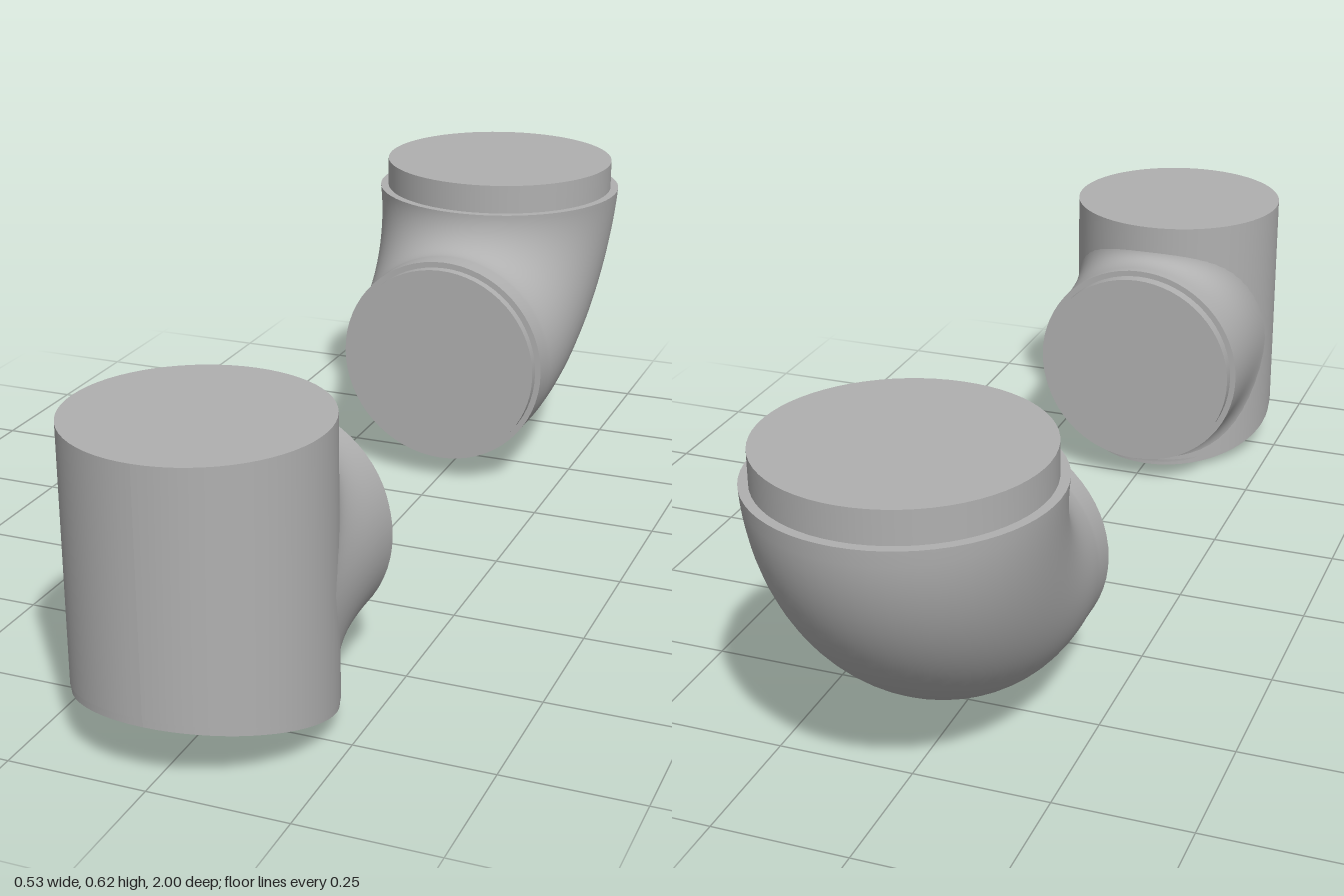
import * as THREE from 'three';

const SEG = 64;
const grey = new THREE.MeshStandardMaterial({ color: 0xb0b0b0 });
grey.name = 'plain grey';

const part = (name, geo, x = 0, y = 0, z = 0) => {
  const m = new THREE.Mesh(geo, grey);
  m.name = name;
  m.position.set(x, y, z);
  return m;
};

// Smooth skin through closed rings, each running x towards y, stacked towards -z
function loft(rings) {
  const n = rings[0].length, pos = [], idx = [];
  for (const ring of rings) for (const p of ring) pos.push(p.x, p.y, p.z);
  for (let i = 0; i < rings.length - 1; i++) {
    for (let j = 0; j < n; j++) {
      const k = (j + 1) % n;
      const a = i * n + j, b = i * n + k, c = a + n, d = b + n;
      idx.push(a, c, b, b, c, d);
    }
  }
  const g = new THREE.BufferGeometry();
  g.setAttribute('position', new THREE.Float32BufferAttribute(pos, 3));
  g.setIndex(idx);
  g.computeVertexNormals();
  return g;
}

// Upright cylinder whose lower end (and optionally upper end) follows the slanted base
function slanted(r, lift, top) {
  const g = new THREE.CylinderGeometry(r, r, 1, SEG);
  const p = g.attributes.position;
  for (let i = 0; i < p.count; i++) {
    const slope = 0.115 * (p.getZ(i) + 0.223) / 0.446;
    if (p.getY(i) < 0) p.setY(i, slope + lift);
    else p.setY(i, top === undefined ? slope + 0.03 : top);
  }
  g.computeVertexNormals();
  return g;
}

// Short cylinder lying along z
const disc = (name, r, z0, z1) => {
  const g = new THREE.CylinderGeometry(r, r, Math.abs(z1 - z0), SEG).rotateX(Math.PI / 2);
  return part(name, g, 0, PORT_Y, (z0 + z1) / 2);
};

const PORT_Y = 0.262, PORT_R = 0.22;

function createTee() {
  const g = new THREE.Group();
  g.name = 'teeFitting';
  const R = 0.223, Z = 0.777;
  g.add(part('verticalPipe', slanted(R, 0.014, 0.56), 0, 0, Z));
  g.add(part('slantedBase', slanted(0.221, 0), 0, 0, Z));

  // Side branch, filleted into the vertical pipe
  const rings = [];
  const steps = 12, zStart = 0.512;
  for (let i = 0; i <= steps + 1; i++) {
    const t = Math.min(i / steps, 1), ring = [];
    for (let j = 0; j < SEG; j++) {
      const a = j / SEG * Math.PI * 2, c = Math.cos(a), s = Math.sin(a);
      const x = PORT_R * c, y = PORT_Y + PORT_R * s;
      const zHit = Z - Math.sqrt(R * R - x * x) + 0.002;
      const foot = new THREE.Vector3(x, y + (0.035 + 0.1 * c * c) * s, zHit);
      const curve = new THREE.QuadraticBezierCurve3(
        foot, new THREE.Vector3(x, y, zHit), new THREE.Vector3(x, y, zStart));
      const p = curve.getPoint(t);
      if (i > steps) p.z = 0.49;
      ring.push(p);
    }
    rings.push(ring);
  }
  g.add(part('branch', loft(rings)));
  g.add(disc('branchCollar', PORT_R, 0.49, 0.505));
  g.add(disc('branchPlug', 0.208, 0.465, 0.5));
  return g;
}

function createElbow() {
  const g = new THREE.Group();
  g.name = 'elbowFitting';
  const topZ = -0.736, topR = 0.264, topY = 0.56, startZ = -0.41;

  // Edge of the bend, leaving along -z and arriving along +y
  const edge = (y0, z1, k) => new THREE.CubicBezierCurve3(
    new THREE.Vector3(0, y0, startZ),
    new THREE.Vector3(0, y0, startZ + (z1 - startZ) * k),
    new THREE.Vector3(0, topY + (y0 - topY) * k, z1),
    new THREE.Vector3(0, topY, z1));
  const outer = edge(PORT_Y - PORT_R, topZ - topR, 0.5);
  const inner = edge(PORT_Y + PORT_R, topZ + topR, 0.552);

  const section = (lo, hi, r) => {
    const mid = lo.clone().add(hi).multiplyScalar(0.5);
    const half = hi.clone().sub(lo).multiplyScalar(0.5);
    return Array.from({ length: SEG }, (_, j) => {
      const a = j / SEG * Math.PI * 2;
      const p = mid.clone().addScaledVector(half, Math.sin(a));
      p.x = r * Math.cos(a);
      return p;
    });
  };
  const rings = [section(
    new THREE.Vector3(0, PORT_Y - PORT_R, -0.365),
    new THREE.Vector3(0, PORT_Y + PORT_R, -0.365), PORT_R)];
  for (let i = 0; i <= 28; i++) {
    const t = i / 28;
    rings.push(section(outer.getPoint(t), inner.getPoint(t), PORT_R + (topR - PORT_R) * t));
  }
  g.add(part('bend', loft(rings)));

  // End faces and the plugs standing out of them
  g.add(part('upperRim', new THREE.CircleGeometry(topR, SEG).rotateX(-Math.PI / 2), 0, topY, topZ));
  g.add(part('upperPlug', new THREE.CylinderGeometry(0.247, 0.247, 0.07, SEG), 0, 0.585, topZ));
  g.add(part('frontRim', new THREE.CircleGeometry(PORT_R, SEG), 0, PORT_Y, -0.365));
  g.add(disc('frontPlug', 0.208, -0.375, -0.345));
  return g;
}

export function createModel() {
  const model = new THREE.Group();
  model.name = 'pipeFittings';
  model.add(createTee(), createElbow());
  return model;
}
